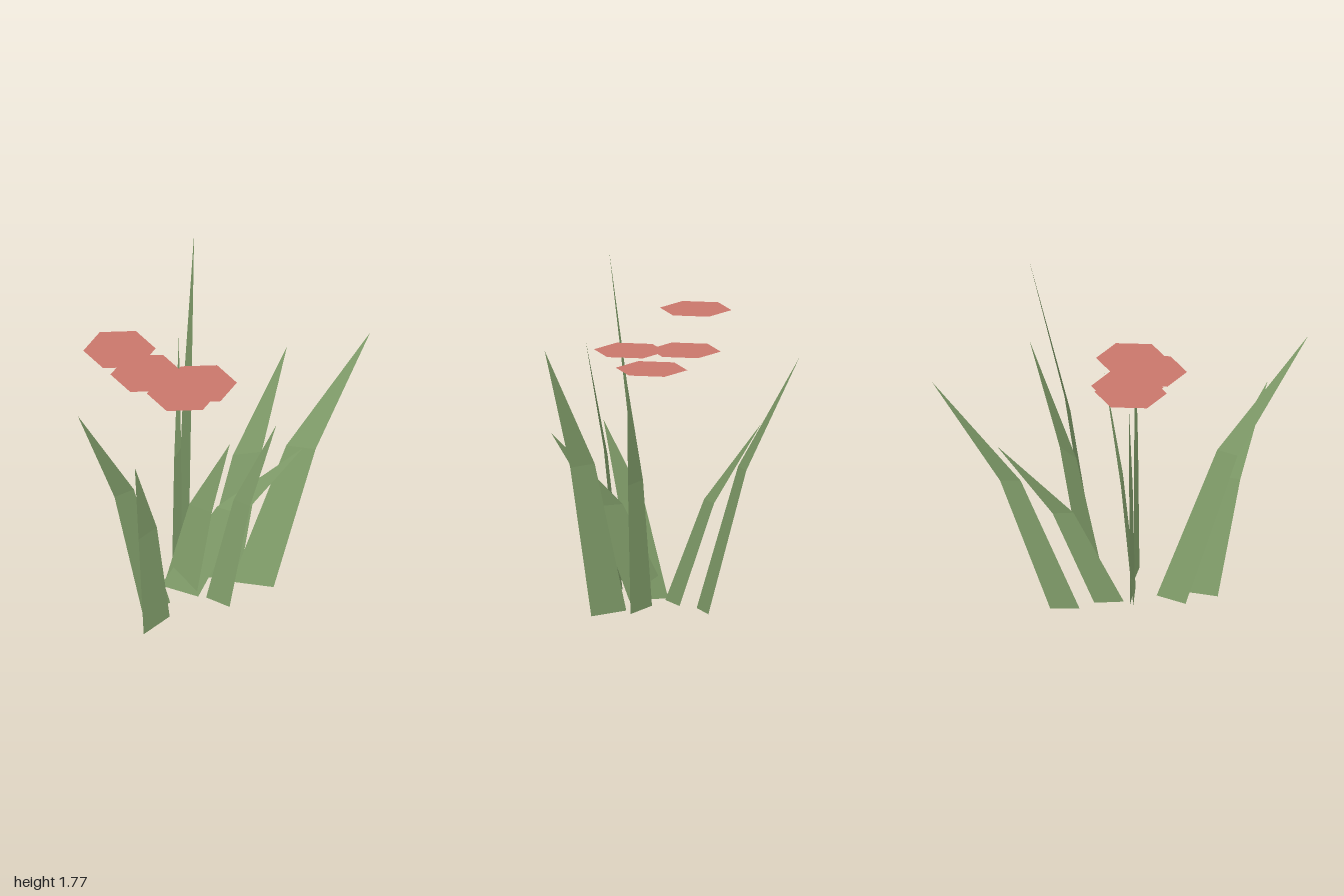
import * as THREE from 'three';

const leafGreen = new THREE.MeshStandardMaterial({ color: 0x87a56f, side: THREE.DoubleSide });
leafGreen.name = 'leafGreen';
const petalCoral = new THREE.MeshStandardMaterial({ color: 0xcb776c, side: THREE.DoubleSide });
petalCoral.name = 'petalCoral';

// Each blade: base corner, base corner [x, z], then tip [x, y, z]
const BLADES = [
  [[-0.45, 0.42], [-0.29, 0.32], [-0.845, 1.77, 0.99]],
  [[-0.455, 0.62], [-0.30, 0.455], [-0.52, 1.34, 0.90]],
  [[-0.27, 0.124], [-0.206, -0.03], [-0.19, 1.15, -0.635]],
  [[-0.23, -0.134], [-0.153, -0.28], [-0.085, 1.60, -0.99]],
  [[-0.315, 0.14], [-0.14, 0.26], [0.045, 1.07, 0.315]],
  [[-0.086, 0.28], [0.04, 0.38], [0.297, 1.31, 0.485]],
  [[-0.115, 0.095], [0.117, 0.063], [0.39, 1.41, -0.133]],
  [[-0.335, 0.15], [-0.13, 0.27], [0.45, 1.06, 0.365]],
  [[0.065, 0.135], [0.297, 0.20], [0.845, 1.65, 0.095]],
];

// Each blossom: centre [x, y, z]
const BLOSSOMS = [
  [-0.565, 1.62, 0.143],
  [-0.41, 1.417, 0.095],
  [-0.21, 1.335, 0.175],
  [-0.115, 1.447, 0.255],
];

// Flat blade bent once: it narrows to 70% at the bend, then runs to a point
function makeBlade([a, b, t]) {
  const left = new THREE.Vector3(a[0], 0, a[1]);
  const right = new THREE.Vector3(b[0], 0, b[1]);
  const tip = new THREE.Vector3(...t);
  const centre = left.clone().add(right).multiplyScalar(0.5);
  const half = right.clone().sub(left).multiplyScalar(0.35);
  const bend = centre.lerp(tip, 0.41).setY(tip.y * 0.55);
  const midLeft = bend.clone().sub(half);
  const midRight = bend.clone().add(half);
  const corners = [
    left, right, midRight,
    left, midRight, midLeft,
    midLeft, midRight, tip,
  ];
  // Unshared corners keep the bend crisp
  const geometry = new THREE.BufferGeometry().setFromPoints(corners);
  geometry.computeVertexNormals();
  return new THREE.Mesh(geometry, leafGreen);
}

export function createModel() {
  const model = new THREE.Group();
  model.name = 'floweringGrass';

  // Grass blades
  const grass = new THREE.Group();
  grass.name = 'grassBlades';
  BLADES.forEach((spec, i) => {
    const blade = makeBlade(spec);
    blade.name = `blade${i + 1}`;
    grass.add(blade);
  });

  // Floating hexagonal blossoms, lying flat
  const flowers = new THREE.Group();
  flowers.name = 'blossoms';
  const hexagon = new THREE.CircleGeometry(0.203, 6).rotateX(-Math.PI / 2);
  BLOSSOMS.forEach((centre, i) => {
    const blossom = new THREE.Mesh(hexagon, petalCoral);
    blossom.name = `blossom${i + 1}`;
    blossom.position.set(...centre);
    flowers.add(blossom);
  });

  model.add(grass, flowers);
  return model;
}
